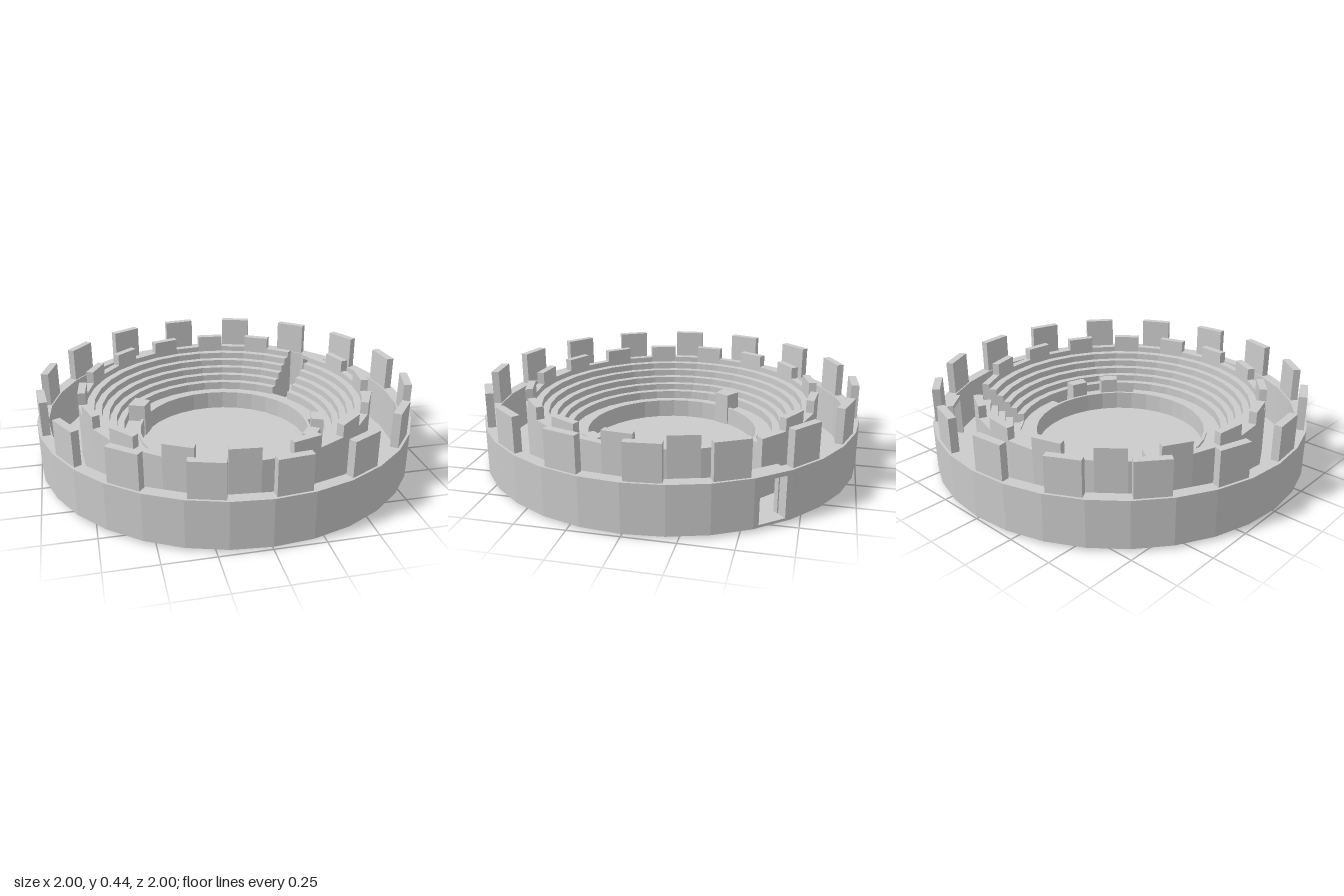
import * as THREE from 'three';

const SIDES = 32, STEP = (Math.PI * 2) / SIDES;
const GATE = 3; // facet that holds the gateway
const material = new THREE.MeshStandardMaterial({ color: 0xcccccc, flatShading: true, side: THREE.DoubleSide });

export function createModel() {
  const model = new THREE.Group();

  function add(name, geometry) {
    const mesh = new THREE.Mesh(geometry, material);
    mesh.name = name;
    model.add(mesh);
    return mesh;
  }

  // Faceted ring sector: `count` facets starting at facet `first`, angles run from +x towards -z
  function ring(name, rIn, rOut, y0, y1, first = 0, count = SIDES) {
    const arc = (r) => Array.from({ length: count + 1 }, (_, i) => {
      const a = (first + i) * STEP;
      return new THREE.Vector2(r * Math.cos(a), r * Math.sin(a));
    });
    let shape;
    if (count === SIDES) {
      shape = new THREE.Shape(arc(rOut).slice(0, -1));
      shape.holes.push(new THREE.Path(arc(rIn).slice(0, -1)));
    } else {
      shape = new THREE.Shape([...arc(rOut), ...arc(rIn).reverse()]);
    }
    const g = new THREE.ExtrudeGeometry(shape, { depth: y1 - y0, bevelEnabled: false });
    g.rotateX(-Math.PI / 2);
    g.translate(0, y0, 0);
    return add(name, g);
  }

  // Box centred on a facet, between two distances from the axis
  function facetBox(name, facet, r0, r1, y0, y1, width, shift = 0) {
    const g = new THREE.BoxGeometry(r1 - r0, y1 - y0, width);
    g.translate((r0 + r1) / 2, (y0 + y1) / 2, shift);
    g.rotateY((facet + 0.5) * STEP);
    return add(name, g);
  }

  // Floor slab
  const floor = new THREE.CylinderGeometry(0.999, 0.999, 0.013, SIDES);
  floor.translate(0, 0.0215, 0);
  add('floor', floor);

  // Outer wall with a gateway
  ring('outerWall', 0.94, 1, 0.015, 0.26, GATE + 1, SIDES - 1);
  for (const s of [-1, 1]) {
    facetBox('gateJamb', GATE, 0.935, 0.995, 0.015, 0.26, 0.028, s * 0.084);
    facetBox('gateFrame', GATE, 0.91, 0.94, 0.025, 0.255, 0.012, s * 0.07);
  }
  facetBox('gateLintel', GATE, 0.91, 0.995, 0.238, 0.26, 0.15);

  // Battlements on the outer wall and on the seating parapet, on alternating facets
  for (let i = 0; i < SIDES; i++) {
    if (i % 2 === 0) facetBox('outerMerlon', i, 0.943, 0.983, 0.26, 0.44, 0.17);
    else if (i !== GATE) ring('innerMerlon', 0.743, 0.783, 0.33, 0.395, i, 1);
  }

  // Parapet and seating tiers, open at the gate facet
  const tiers = [
    [0.743, 0.783, 0.33], [0.703, 0.743, 0.3], [0.666, 0.703, 0.265],
    [0.628, 0.666, 0.23], [0.591, 0.628, 0.195], [0.553, 0.591, 0.16],
  ];
  tiers.forEach(([r0, r1, top], i) =>
    ring(i ? 'seatTier' : 'parapet', r0, r1, 0.025, top, GATE + 1, SIDES - 1));

  // Lower gallery with two open bays, and the arena rim
  ring('gallery', 0.479, 0.553, 0.025, 0.115, 0, 27);
  ring('gallery', 0.479, 0.553, 0.025, 0.115, 28, 3);
  ring('arenaRim', 0.463, 0.479, 0.025, 0.13);

  // Raised boxes on the gallery
  ring('galleryBox', 0.479, 0.545, 0.1, 0.21, 28, 1);
  ring('galleryBox', 0.479, 0.545, 0.1, 0.21, 30, 1);
  ring('grandBox', 0.455, 0.55, 0.025, 0.21, 13, 1);

  // Ramp from the gate passage up to the gallery; its foot dips through the floor
  const ramp = new THREE.BoxGeometry(0.22, 0.02, 0.12);
  ramp.rotateZ(-Math.atan2(0.1, 0.19));
  ramp.translate(0.643, 0.061, 0);
  ramp.rotateY((GATE + 0.5) * STEP);
  add('ramp', ramp);

  return model;
}
